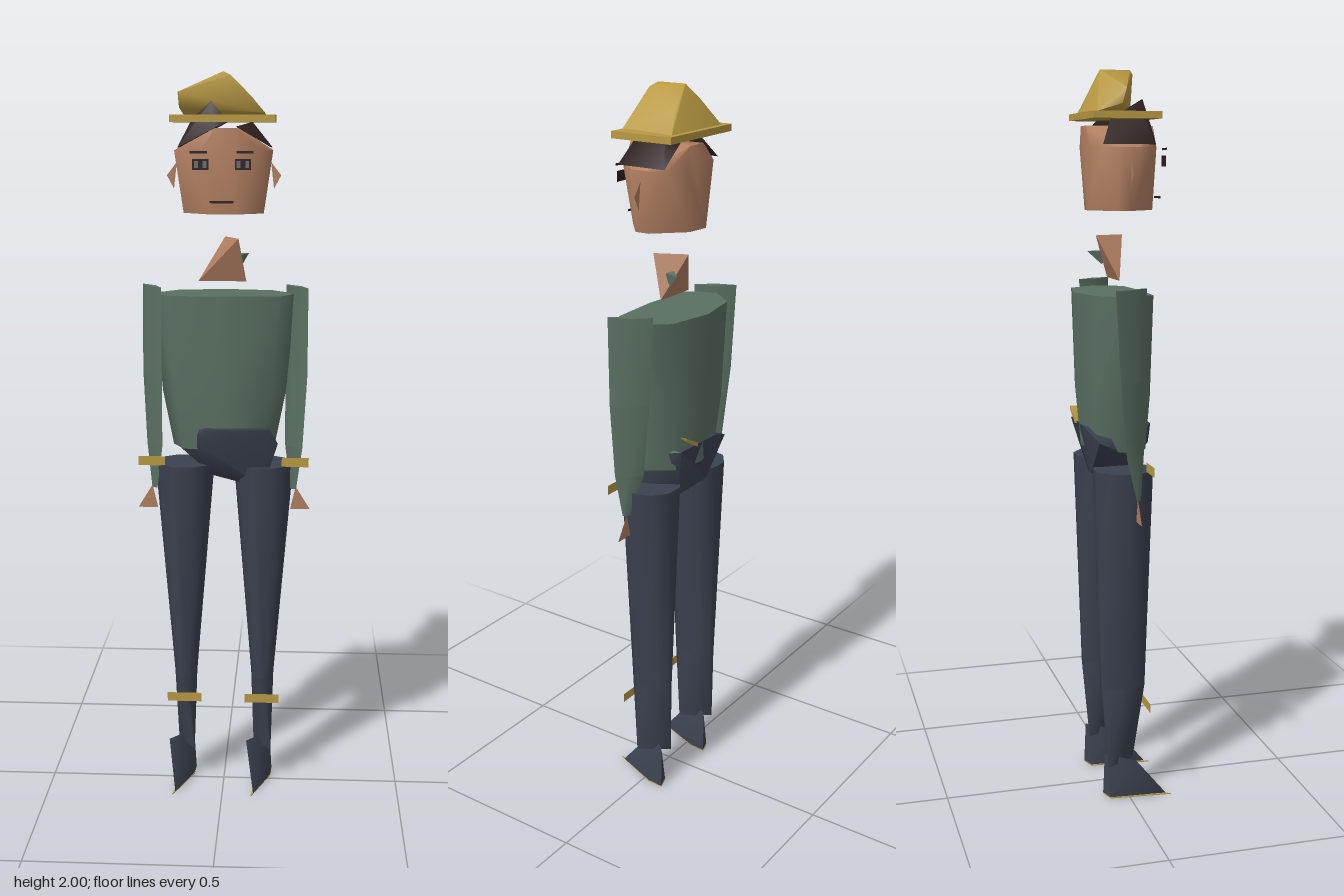
import * as THREE from 'three';
import { ConvexGeometry } from 'three/addons/geometries/ConvexGeometry.js';
import { toCreasedNormals } from 'three/addons/utils/BufferGeometryUtils.js';

const makeMaterial = (name, color) => {
  const m = new THREE.MeshStandardMaterial({ color, side: THREE.DoubleSide });
  m.name = name;
  return m;
};

export function createModel() {
  const model = new THREE.Group();
  const skin = makeMaterial('skin', 0xb07e60);
  const green = makeMaterial('green cloth', 0x5a7062);
  const navy = makeMaterial('navy cloth', 0x3b414f);
  const gold = makeMaterial('gold', 0xb89942);
  const hair = makeMaterial('dark hair', 0x2c1f1e);
  const grey = makeMaterial('eye grey', 0x6c6e74);

  const add = (name, geometry, material, parent = model) => {
    const mesh = new THREE.Mesh(geometry, material);
    mesh.name = name;
    parent.add(mesh);
    return mesh;
  };
  // Solid around a few corner points, smooth over gentle edges
  const hull = (name, points, material, parent) => {
    const geo = new ConvexGeometry(points.map((p) => new THREE.Vector3(...p)));
    return add(name, toCreasedNormals(geo, 1.15), material, parent);
  };
  // Flat polygon facing forward at depth z
  const plate = (name, points, z, material) => {
    const shape = new THREE.Shape(points.map((p) => new THREE.Vector2(...p)));
    const geo = new THREE.ShapeGeometry(shape);
    geo.translate(0, 0, z);
    return add(name, geo, material);
  };
  const rect = (x, y, w, h) => [
    [x - w / 2, y - h / 2], [x + w / 2, y - h / 2], [x + w / 2, y + h / 2], [x - w / 2, y + h / 2],
  ];
  // Cross-section ring of [x, z] corners at height y
  const ring = (y, corners) => corners.map(([x, z]) => [x, y, z]);
  const oval = (y, cx, cz, rx, rz, n = 10) => ring(y, Array.from({ length: n }, (_, i) => {
    const a = (i / n) * Math.PI * 2;
    return [cx + rx * Math.cos(a), cz + rz * Math.sin(a)];
  }));
  // Thin diagonal diamond section: long half-axis (dx, dz), half-thickness t
  const blade = (y, cx, cz, dx, dz, t) => ring(y, [
    [cx - dx, cz - dz], [cx + t, cz - t / 2], [cx + dx, cz + dz], [cx - t, cz + t / 2],
  ]);
  // Limb made of stacked segments between rings
  const limb = (name, rings, material) => {
    const group = new THREE.Group();
    group.name = name;
    model.add(group);
    for (let i = 0; i + 1 < rings.length; i++) {
      hull(name + 'Segment', [...rings[i], ...rings[i + 1]], material, group);
    }
  };

  // Head, wide at the brow, with a slanted jaw and a ridged top
  const headRing = (y, w) => ring(y, [
    [w * 0.42, 0.09], [w * 0.8, 0.068], [w, 0.025], [w, -0.025], [w * 0.8, -0.068], [w * 0.42, -0.092],
    [-w * 0.42, -0.092], [-w * 0.8, -0.068], [-w, -0.025], [-w, 0.025], [-w * 0.8, 0.068], [-w * 0.42, 0.09],
  ]);
  const jaw = ring(1.637, [
    [0.107, 0.03], [0.035, 0.09], [-0.035, 0.085], [-0.107, 0.01], [-0.107, -0.03], [-0.035, -0.092], [0.03, -0.085], [0.105, -0.01],
  ]);
  hull('head', [...jaw, ...headRing(1.8, 0.13), ...ring(1.856, [[-0.02, 0.09], [0.04, 0.09], [0.04, -0.092], [-0.02, -0.092]])], skin);

  // Face details standing just before the face
  for (const s of [-1, 1]) {
    const x = s * 0.055;
    plate('eye', rect(x, 1.765, 0.042, 0.028), 0.11, hair);
    plate('eyeWhite', rect(x - 0.011, 1.765, 0.01, 0.018), 0.112, grey);
    plate('eyeWhite', rect(x + 0.011, 1.765, 0.01, 0.018), 0.112, grey);
    plate('eyebrow', rect(s * 0.06, 1.796, 0.044, 0.006), 0.11, hair);
    plate('ear', [[s * 0.125, 1.77], [s * 0.152, 1.735], [s * 0.133, 1.7]], 0, skin);
  }
  plate('mouth', rect(0, 1.67, 0.062, 0.006), 0.11, hair);

  // Hair: a peaked lock on one side and a low one on the other
  hull('rightHair', [
    [-0.118, 1.807, 0.07], [-0.118, 1.807, -0.072], [-0.085, 1.872, 0.045], [-0.07, 1.872, -0.04],
    [-0.02, 1.857, 0.085], [0.015, 1.872, 0.06], [-0.075, 1.885, 0.055], [-0.03, 1.925, 0.058],
  ], hair);
  hull('leftHair', [
    [0.127, 1.807, 0.068], [0.127, 1.807, -0.074], [0.035, 1.86, 0.08],
    [0.075, 1.872, 0.04], [0.075, 1.872, -0.04], [0.035, 1.86, -0.06],
  ], hair);

  // Hat
  const brim = add('hatBrim', new THREE.BoxGeometry(0.274, 0.018, 0.182), gold);
  brim.position.set(0, 1.881, -0.01);
  hull('hatCrown', [
    [-0.112, 1.89, -0.085], [0.11, 1.89, -0.085], [0.11, 1.895, 0.064], [-0.123, 1.95, -0.01],
    [-0.12, 1.91, -0.02], [0, 2, 0.032], [0.02, 1.99, 0.045], [0, 2, -0.05], [0.07, 1.94, -0.065],
  ], gold);

  // Neck and collar point
  hull('neck', [
    [-0.07, 1.453, -0.015], [0.06, 1.453, -0.015], [0, 1.57, -0.062], [0.04, 1.57, 0.022],
  ], skin);
  hull('collar', [
    [0.0, 1.53, -0.01], [0.065, 1.525, -0.07], [0.045, 1.49, -0.035], [0.03, 1.52, 0.0],
  ], green);

  // Torso
  const torsoRing = (y, sx, sz) => ring(y, [
    [0, -0.125], [0.13, -0.1], [0.195, -0.02], [0.15, 0.055], [0, 0.064],
    [-0.15, 0.055], [-0.195, -0.02], [-0.13, -0.1],
  ].map(([x, z]) => [x * sx, z * sz]));
  hull('torso', [...torsoRing(1.42, 1, 1), ...torsoRing(1.15, 0.87, 0.95), ...torsoRing(1.0, 0.72, 0.85)], green);

  // Hips: a lopsided wedge running from back right to front left
  hull('hips', [
    [-0.05, 1.06, 0.078], [0.13, 1.06, 0.078], [0.15, 1.02, 0.06], [0.1, 1.06, -0.11],
    [-0.06, 1.06, -0.112], [0.11, 0.887, 0.03], [-0.03, 0.92, 0.02], [-0.055, 1.01, 0.07],
    [-0.145, 1.03, -0.09], [-0.12, 0.99, -0.01], [-0.05, 0.93, -0.09], [0.06, 0.91, -0.07],
  ], navy);
  // Strap end at the back of the waist
  hull('strap', [
    [0.03, 1.055, -0.116], [0.085, 1.085, -0.116], [0.085, 1.095, -0.116], [0.03, 1.067, -0.116],
    [0.03, 1.055, -0.1], [0.085, 1.095, -0.09],
  ], gold);

  for (const s of [-1, 1]) {
    const side = s > 0 ? 'left' : 'right';
    const x = s * 0.198;

    // Arm: a thin diagonal blade running to a point
    limb(side + 'Arm', [
      blade(1.44, x, -0.018, 0.03, 0.05, 0.011),
      blade(1.2, x, -0.012, 0.03, 0.042, 0.014),
      blade(1.0, x - s * 0.005, -0.005, 0.024, 0.03, 0.014),
      blade(0.88, x - s * 0.005, 0.005, 0.008, 0.008, 0.005),
    ], green);
    plate(side + 'Cuff', rect(x, 0.962, 0.074, 0.026), 0.035, gold);
    plate(side + 'Hand', [[s * 0.24, 0.82], [s * 0.2, 0.885], [s * 0.185, 0.82]], 0, skin);

    // Leg: round thigh, oval knee, diagonal edge at the ankle
    const lx = s * 0.11;
    limb(side + 'Leg', [
      oval(0.95, lx, -0.017, 0.083, 0.082),
      oval(0.33, lx, -0.017, 0.032, 0.064),
      blade(0.1, lx, -0.022, 0.026, 0.042, 0.004),
    ], navy);
    plate(side + 'KneeBand', rect(lx, 0.272, 0.097, 0.026), 0.05, gold);

    // Shoe with a gold sole, both turned the same way
    const shoe = new THREE.Group();
    shoe.name = side + 'Shoe';
    shoe.position.x = s > 0 ? 0.223 : 0;
    model.add(shoe);
    hull('shoeUpper', [
      [-0.134, 0.003, 0.104], [-0.085, 0.003, -0.067], [-0.122, 0.003, -0.055], [-0.088, 0.003, -0.02],
      [-0.158, 0.122, 0.01], [-0.092, 0.122, -0.064],
    ], navy, shoe);
    const sole = [[-0.141, 0.118], [-0.085, -0.068], [-0.124, -0.055], [-0.087, -0.02]];
    hull('shoeSole', [...ring(0, sole), ...ring(0.003, sole)], gold, shoe);
  }
  return model;
}
